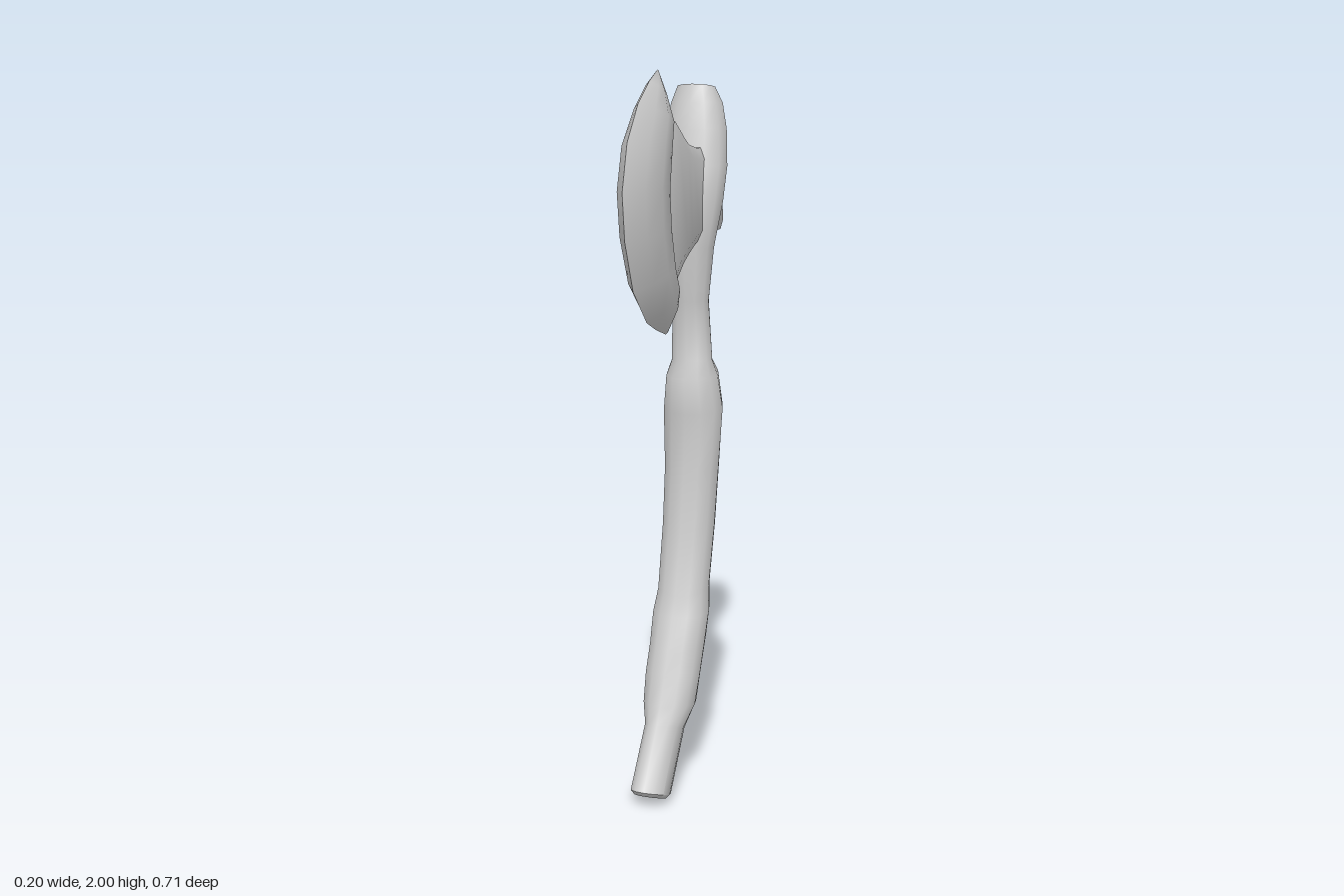
import * as THREE from 'three';
import { toCreasedNormals } from 'three/addons/utils/BufferGeometryUtils.js';

const material = new THREE.MeshStandardMaterial({ color: 0xcccccc });

// Skin closed rings of [x, y, z] points and cap both ends.
function loft(name, rings, crease, capDrop = 0) {
  const n = rings[0].length;
  const points = rings.flat();
  const faces = [];
  for (let i = 0; i < rings.length - 1; i++) {
    for (let j = 0; j < n; j++) {
      const a = i * n + j, b = i * n + (j + 1) % n;
      faces.push([a, b, b + n], [a, b + n, a + n]);
    }
  }
  [0, rings.length - 1].forEach((r, end) => {
    const c = [0, 1, 2].map(k => rings[r].reduce((s, p) => s + p[k], 0) / n);
    if (end) c[1] -= capDrop;
    const centre = points.push(c) - 1;
    for (let j = 0; j < n; j++) {
      const a = r * n + j, b = r * n + (j + 1) % n;
      faces.push(end ? [a, b, centre] : [b, a, centre]);
    }
  });
  // Turn all faces outward if the enclosed volume is negative.
  const v = points.map(p => new THREE.Vector3(...p));
  const volume = faces.reduce((s, [a, b, c]) => s + v[a].dot(v[b].clone().cross(v[c])), 0);
  if (volume < 0) faces.forEach(f => f.reverse());
  let g = new THREE.BufferGeometry();
  g.setAttribute('position', new THREE.Float32BufferAttribute(points.flat(), 3));
  g.setIndex(faces.flat());
  g = toCreasedNormals(g, crease);
  const mesh = new THREE.Mesh(g, material);
  mesh.name = name;
  return mesh;
}

// Curved wooden handle: each row gives front z, y, back z, y, half width and notch depth.
function makeHandle() {
  const rows = [
    [0.22, 0.045, 0.125, 0.005, 0.045, 0],
    [0.23, 0.06, 0.11, 0.015, 0.056, 0],
    [0.12, 0.215, -0.01, 0.165, 0.055, 0],
    [0.095, 0.26, -0.07, 0.235, 0.075, 0],
    [0.06, 0.34, -0.087, 0.31, 0.08, 0],
    [0.035, 0.40, -0.15, 0.425, 0.08, 0],
    [-0.005, 0.49, -0.165, 0.5, 0.083, 0],
    [-0.03, 0.55, -0.183, 0.57, 0.075, 0],
    [-0.075, 0.74, -0.225, 0.73, 0.077, 0],
    [-0.1, 0.9, -0.25, 0.9, 0.08, 0],
    [-0.11, 1.06, -0.26, 1.08, 0.088, 0],
    [-0.1, 1.16, -0.25, 1.18, 0.075, 0],
    [-0.125, 1.21, -0.222, 1.21, 0.06, 0],
    [-0.112, 1.38, -0.205, 1.38, 0.053, 0],
    [-0.095, 1.53, -0.21, 1.53, 0.07, 0],
    [-0.1, 1.66, -0.225, 1.65, 0.092, 0],
    [-0.112, 1.75, -0.235, 1.75, 0.1, 0],
    [-0.132, 1.85, -0.262, 1.85, 0.09, 0.01],
    [-0.148, 1.92, -0.265, 1.92, 0.075, 0.03],
    [-0.165, 1.97, -0.235, 1.955, 0.055, 0.035],
  ];
  const sides = 12;
  const rings = rows.map(([fz, fy, bz, by, w, notch], r) =>
    Array.from({ length: sides }, (_, j) => {
      const a = j / sides * Math.PI * 2;
      const t = (1 - Math.cos(a)) / 2;
      const split = j === sides / 2 ? notch : 0;
      const drop = r === rows.length - 1 ? split : 0;
      return [Math.sin(a) * w, fy + (by - fy) * t - drop, fz + (bz - fz) * t + split];
    }));
  return loft('handle', rings, 0.9, 0.02);
}

// Crescent blade: each row gives edge z, y, rear z, y and half thickness.
function makeBlade() {
  const rows = [
    [0.045, 1.31, 0.035, 1.32, 0.004],
    [0.12, 1.332, 0.025, 1.385, 0.033],
    [0.19, 1.36, 0.035, 1.44, 0.045],
    [0.285, 1.45, 0.085, 1.5, 0.053],
    [0.34, 1.58, 0.125, 1.6, 0.057],
    [0.355, 1.7, 0.14, 1.7, 0.058],
    [0.32, 1.82, 0.12, 1.79, 0.056],
    [0.243, 1.915, 0.08, 1.865, 0.045],
    [0.165, 1.97, 0.095, 1.935, 0.026],
    [0.105, 2.0, 0.1, 1.995, 0.002],
  ];
  // Position from edge to rear, and share of the thickness, down one side.
  const section = [[0, 0], [0.28, 0.66], [0.6, 1], [0.9, 0.95], [1, 0.6]];
  const outline = [...section, ...section.slice(1).reverse().map(([t, s]) => [t, -s])];
  const rings = rows.map(([fz, fy, bz, by, w]) =>
    outline.map(([t, s]) => [s * w, fy + (by - fy) * t, fz + (bz - fz) * t]));
  return loft('blade', rings, 0.8);
}

// Rounded block running along z: each row gives z, bottom y, top y and half width.
function makeBlock(name, rows) {
  const corners = [[1, 0.12], [1, 0.88], [0.75, 1], [-0.75, 1], [-1, 0.88], [-1, 0.12], [-0.75, 0], [0.75, 0]];
  const rings = rows.map(([z, low, high, w]) =>
    corners.map(([s, t]) => [s * w, low + (high - low) * t, z]));
  return loft(name, rings, 0.9);
}

export function createModel() {
  const model = new THREE.Group();
  model.name = 'axe';
  model.add(makeHandle(), makeBlade());

  // Neck flares from the handle into the blade.
  model.add(makeBlock('bladeNeck', [
    [-0.17, 1.56, 1.8, 0.05],
    [-0.095, 1.545, 1.8, 0.05],
    [-0.03, 1.52, 1.81, 0.052],
    [0.01, 1.5, 1.83, 0.052],
    [0.07, 1.45, 1.87, 0.048],
    [0.11, 1.47, 1.86, 0.043],
    [0.16, 1.54, 1.79, 0.04],
  ]));

  // Blunt poll behind the handle, its rear face leaning back at the bottom.
  const poll = makeBlock('poll', [
    [-0.18, 1.58, 1.79, 0.045],
    [-0.24, 1.57, 1.795, 0.043],
    [-0.325, 1.565, 1.8, 0.036],
    [-0.34, 1.575, 1.79, 0.03],
  ]);
  const p = poll.geometry.attributes.position;
  for (let i = 0; i < p.count; i++) {
    if (p.getZ(i) < -0.3) p.setZ(i, p.getZ(i) - (1.7 - p.getY(i)) * 0.12);
  }
  poll.geometry = toCreasedNormals(poll.geometry, 0.9);
  model.add(poll);
  return model;
}
